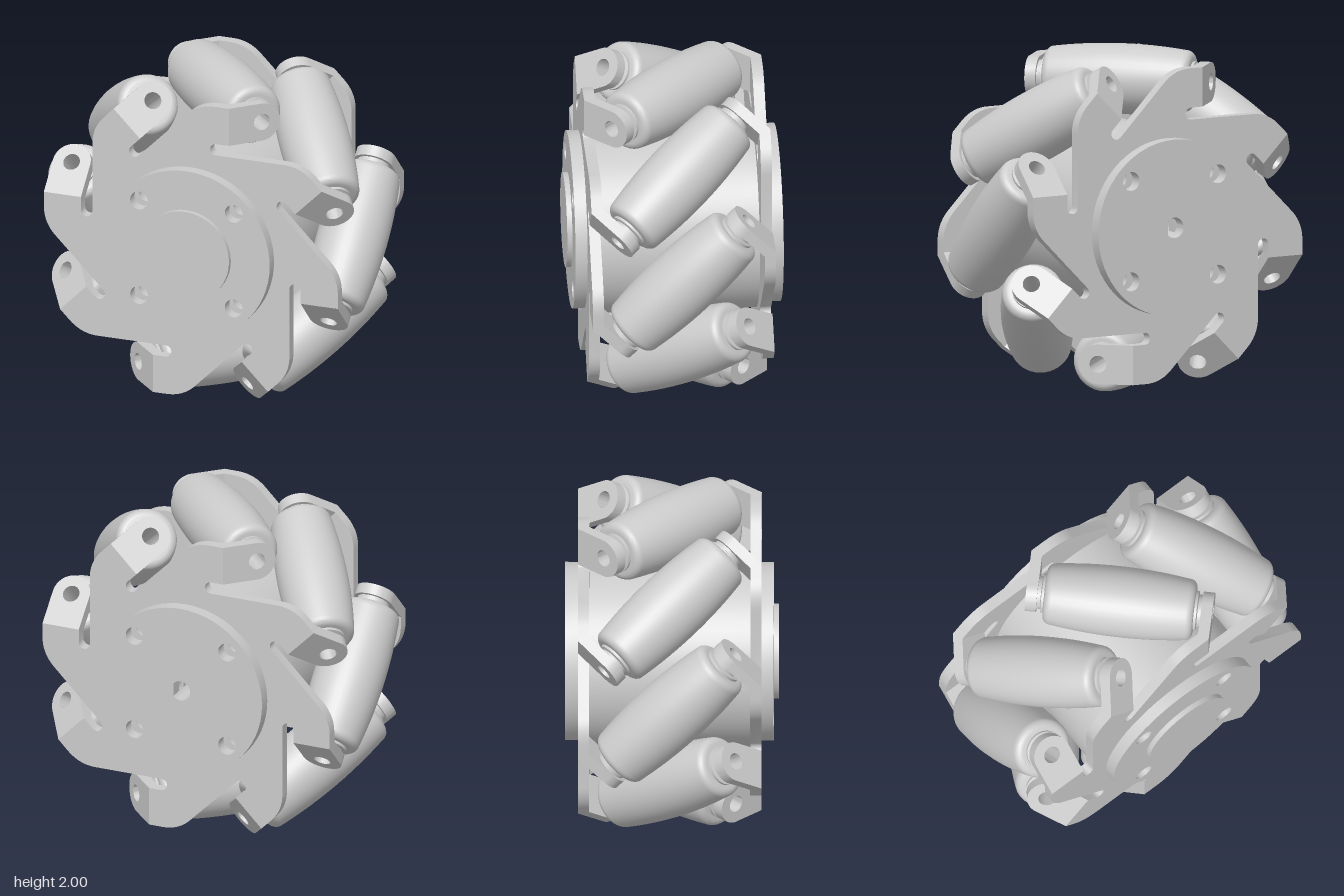
import * as THREE from 'three';
import { toCreasedNormals } from 'three/addons/utils/BufferGeometryUtils.js';

const COUNT = 8, STEP = Math.PI * 2 / COUNT;
const THICK = 0.065;     // sheet thickness
const FACE = 0.53;       // outer face of each side plate
const BEND = 0.235;      // where a tab folds away from its plate
const AXLE = 0.795;      // distance of roller axles from the wheel centre
const TAB = 0.115;       // half width of a tab
const BORE = 0.05;

const material = new THREE.MeshStandardMaterial({ color: 0xcccccc });

function mesh(name, geometry) {
  const m = new THREE.Mesh(toCreasedNormals(geometry, 0.5), material);
  m.name = name;
  return m;
}

function circle(x, y, r) {
  return new THREE.Path().absarc(x, y, r, 0, Math.PI * 2, true);
}

// Four bolt holes and, where wanted, the D-shaped shaft bore
function addHubHoles(shape, shaft) {
  for (const x of [-0.293, 0.293])
    for (const y of [-0.293, 0.293]) shape.holes.push(circle(x, y, 0.055));
  if (shaft) {
    const bore = new THREE.Path().absarc(0, 0, 0.06, 0.7, Math.PI * 2 - 0.7, false);
    bore.closePath();
    shape.holes.push(bore);
  }
  return shape;
}

function extrude(shape, z0, z1, curveSegments = 24) {
  return new THREE.ExtrudeGeometry(shape, { depth: z1 - z0, bevelEnabled: false, curveSegments })
    .translate(0, 0, z0);
}

function disc(name, r, z0, z1, shaft) {
  const s = addHubHoles(new THREE.Shape().absarc(0, 0, r, 0, Math.PI * 2), shaft);
  return mesh(name, extrude(s, z0, z1, 32));
}

// Slotted star outline: each arm ends at its bend line, with a relief slot below
function plateShape() {
  const s = new THREE.Shape();
  const top = AXLE + TAB, low = AXLE - TAB, slotR = 0.035, slotX = 0.155;
  const floor = low - 2 * slotR;
  const at = (k, u, v) => {
    const c = Math.cos(k * STEP), n = Math.sin(k * STEP);
    return [u * c + v * n, v * c - u * n];
  };
  for (let k = 0; k < COUNT; k++) {
    if (k === 0) s.moveTo(...at(k, 0.15, top));
    s.lineTo(...at(k, BEND, top));
    s.lineTo(...at(k, BEND, low));
    for (let i = 0; i <= 8; i++) {
      const a = Math.PI / 2 + Math.PI * i / 8;
      s.lineTo(...at(k, slotX + slotR * Math.cos(a), low - slotR + slotR * Math.sin(a)));
    }
    s.lineTo(...at(k, 0.575, floor));
    s.quadraticCurveTo(...at(k, 0.677, floor), ...at(k + 1, 0.15, top));
  }
  return addHubHoles(s, true);
}

// Round-ended tab with an axle hole, lying along +x from its bend
function tabGeometry() {
  const reach = (FACE + BEND) / 2;
  const hole = (reach - BEND) * Math.SQRT2;
  const s = new THREE.Shape();
  s.moveTo(0, -TAB);
  s.lineTo(hole, -TAB);
  s.absarc(hole, 0, TAB, -Math.PI / 2, Math.PI / 2, false);
  s.lineTo(0, TAB);
  s.closePath();
  s.holes.push(circle(hole, 0, BORE));
  return extrude(s, -THICK, 0, 16);
}

// Side plate with its ring of tabs folded inwards by 45 degrees
function sidePlate(name) {
  const g = new THREE.Group();
  g.name = name;
  g.add(mesh('plate', extrude(plateShape(), FACE - THICK, FACE, 12)));
  const tabGeo = tabGeometry();
  for (let k = 0; k < COUNT; k++) {
    const arm = new THREE.Group();
    arm.name = 'tabArm';
    const tab = mesh('tab', tabGeo);
    tab.position.set(BEND, AXLE, FACE);
    tab.rotation.y = Math.PI / 4;
    arm.add(tab);
    arm.rotation.z = -k * STEP;
    g.add(arm);
  }
  return g;
}

// Barrel with rounded rims and a through bore
function rollerGeometry() {
  const half = 0.435, fillet = 0.045, pts = [];
  const radius = y => 0.205 - 0.033 * (y / half) ** 2;
  const body = half - fillet;
  const rim = radius(body) - fillet;
  const add = (r, y) => pts.push(new THREE.Vector2(r, y));
  add(BORE, -half);
  for (let i = 0; i < 6; i++) {
    const a = Math.PI / 2 * i / 6;
    add(rim + fillet * Math.sin(a), -body - fillet * Math.cos(a));
  }
  for (let i = 0; i <= 12; i++) {
    const y = body * (i / 6 - 1);
    add(radius(y), y);
  }
  for (let i = 1; i <= 6; i++) {
    const a = Math.PI / 2 * i / 6;
    add(rim + fillet * Math.cos(a), body + fillet * Math.sin(a));
  }
  add(BORE, half);
  add(BORE, -half);
  return new THREE.LatheGeometry(pts, 40);
}

// Spacer ring between roller and tab
function collarGeometry() {
  const p = [[BORE, 0.42], [0.115, 0.42], [0.115, 0.45], [0.095, 0.455], [0.095, 0.48], [BORE, 0.48], [BORE, 0.42]];
  return new THREE.LatheGeometry(p.map(([r, y]) => new THREE.Vector2(r, y)), 32);
}

export function createModel() {
  const model = new THREE.Group();
  model.name = 'omnidirectionalWheel';
  const wheel = new THREE.Group();
  wheel.name = 'wheel';
  wheel.position.set(0, 1, -0.015);
  model.add(wheel);

  // Hub
  const inner = FACE - THICK;
  wheel.add(disc('drum', 0.545, -inner, inner, true));
  wheel.add(disc('frontFlange', 0.515, FACE, 0.6, false));
  wheel.add(disc('backFlange', 0.515, -0.605, -FACE, true));
  const boss = mesh('frontBoss', new THREE.CylinderGeometry(0.275, 0.275, 0.03, 48));
  boss.rotation.x = Math.PI / 2;
  boss.position.z = 0.615;
  wheel.add(boss);

  // Side plates: the back one is the front one turned half round
  const back = sidePlate('backPlate');
  back.rotation.y = Math.PI;
  wheel.add(sidePlate('frontPlate'), back);

  // Rollers, each with its axle at 45 degrees to the wheel axis
  const rollerGeo = rollerGeometry(), collarGeo = collarGeometry();
  for (let k = 0; k < COUNT; k++) {
    const spoke = new THREE.Group();
    spoke.name = 'rollerMount';
    const unit = new THREE.Group();
    unit.name = 'rollerUnit';
    unit.position.y = AXLE;
    unit.rotation.set(0, -Math.PI / 4, -Math.PI / 2);
    const far = mesh('collar', collarGeo);
    far.rotation.x = Math.PI;
    unit.add(mesh('roller', rollerGeo), mesh('collar', collarGeo), far);
    spoke.add(unit);
    spoke.rotation.z = -k * STEP;
    wheel.add(spoke);
  }
  return model;
}
